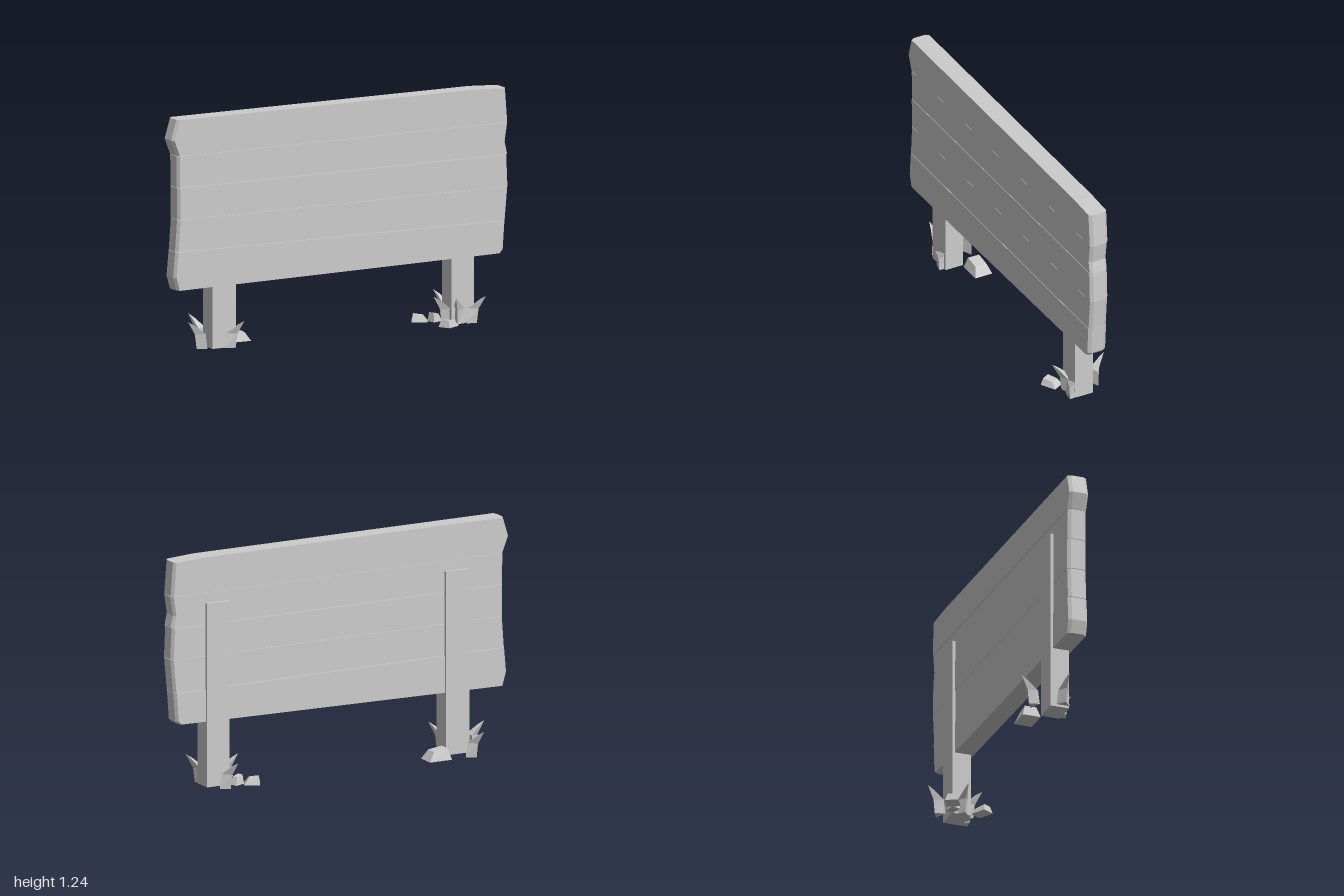
import * as THREE from 'three';

const stone = new THREE.MeshStandardMaterial({ color: 0xcccccc, flatShading: true });
stone.name = 'plainGrey';

function add(group, name, geometry) {
  const mesh = new THREE.Mesh(geometry, stone);
  mesh.name = name;
  group.add(mesh);
  return mesh;
}

// Plank: outline extruded in depth, with its ragged ends chamfered front and back
function plankGeometry(left, right, zBack, zFront) {
  const outline = [...left, ...right.slice().reverse()]; // left end top-down, right end bottom-up
  const shape = new THREE.Shape(outline.map(([x, y]) => new THREE.Vector2(x, y)));
  const depth = zFront - zBack;
  const g = new THREE.ExtrudeGeometry(shape, { depth, steps: 6, bevelEnabled: false });
  const p = g.attributes.position;
  for (let i = 0; i < p.count; i++) {
    const z = p.getZ(i);
    if (z < 0.001 || z > depth - 0.001) p.setX(i, p.getX(i) - Math.sign(p.getX(i)) * 0.012);
    p.setZ(i, z + zBack);
  }
  g.computeVertexNormals();
  return g;
}

// Grass blade: three triangular sections bending outward along +z
function bladeGeometry() {
  // [outer y, outer z, inner y, inner z, half width]
  const sections = [
    [0, 0.015, 0, -0.03, 0.036],
    [0.075, 0.024, 0.08, -0.024, 0.028],
    [0.146, 0.065, 0.125, 0.03, 0.01],
  ];
  const rings = sections.map(([yo, zo, yi, zi, w]) => [[0, yo, zo], [w, yi, zi], [-w, yi, zi]]);
  const v = [];
  for (let s = 0; s < 2; s++) {
    for (let i = 0; i < 3; i++) {
      const j = (i + 1) % 3;
      const [a, b, c, d] = [rings[s][i], rings[s][j], rings[s + 1][j], rings[s + 1][i]];
      v.push(...a, ...b, ...c, ...a, ...c, ...d);
    }
  }
  v.push(...rings[2].flat(), ...rings[0].slice().reverse().flat());
  const g = new THREE.BufferGeometry();
  g.setAttribute('position', new THREE.Float32BufferAttribute(v, 3));
  g.computeVertexNormals();
  return g;
}

// Rock: low four-sided block with a smaller, shifted top
function rockGeometry(w, h, d, shift) {
  const g = new THREE.BoxGeometry(w, h, d).translate(0, h / 2, 0);
  const p = g.attributes.position;
  for (let i = 0; i < p.count; i++) {
    if (p.getY(i) > h / 2) {
      p.setX(i, p.getX(i) * 0.62 + shift);
      p.setZ(i, p.getZ(i) * 0.65);
      if (p.getX(i) > shift) p.setY(i, h * 0.82);
    }
  }
  g.computeVertexNormals();
  return g;
}

export function createModel() {
  const model = new THREE.Group();
  model.name = 'woodenSign';

  // Five stacked planks, listed from the top: left end, right end, back, front
  const board = new THREE.Group();
  board.name = 'board';
  const planks = [
    [[[-0.968, 1.237], [-1, 1.13], [-0.968, 1.046]], [[0.83, 1.237], [0.985, 1.228], [0.999, 1.046]], -0.005, 0.1],
    [[[-0.968, 1.044], [-0.966, 0.876]], [[0.999, 1.044], [0.984, 0.94], [0.998, 0.876]], -0.002, 0.099],
    [[[-0.966, 0.874], [-0.965, 0.706]], [[0.993, 0.874], [1, 0.706]], -0.004, 0.1],
    [[[-0.964, 0.704], [-0.976, 0.536]], [[1, 0.704], [0.984, 0.526]], -0.003, 0.099],
    [[[-0.976, 0.534], [-0.988, 0.4], [-0.968, 0.33]], [[0.983, 0.524], [0.972, 0.37], [0.955, 0.353]], -0.006, 0.1],
  ];
  planks.forEach(([l, r, b, f], i) => add(board, 'plank' + (i + 1), plankGeometry(l, r, b, f)));
  model.add(board);

  // Posts running up behind the board
  for (const [name, x, w] of [['rightPost', -0.685, 0.138], ['leftPost', 0.733, 0.134]]) {
    add(model, name, new THREE.BoxGeometry(w, 0.99, 0.105)).position.set(x, 0.495, 0.0325);
  }

  // Grass blades around the posts: x, z, outward direction x, z
  const grass = new THREE.Group();
  grass.name = 'grass';
  const blade = bladeGeometry();
  const blades = [
    [-0.81, 0.04, -1, 0], [-0.64, 0.1, 0.6, 0.8], [-0.73, -0.12, -0.4, -0.9],
    [0.648, 0.04, -1, 0], [0.7, 0.095, -0.6, 0.8], [0.79, 0.105, 0.7, 0.7], [0.71, -0.09, -0.4, -0.9],
  ];
  for (const [x, z, dx, dz] of blades) {
    const m = add(grass, 'grassBlade', blade);
    m.position.set(x, 0, z);
    m.rotation.y = Math.atan2(dx, dz);
  }
  model.add(grass);

  // Rocks: x, z, width, height, depth, turn
  const rocks = new THREE.Group();
  rocks.name = 'rocks';
  for (const [x, z, w, h, d, turn] of [
    [-0.535, -0.065, 0.13, 0.06, 0.1, 0], [0.555, -0.06, 0.085, 0.04, 0.07, -0.5],
    [0.625, 0.13, 0.09, 0.038, 0.07, 0.5], [0.63, -0.03, 0.06, 0.05, 0.05, 0.3],
  ]) {
    const m = add(rocks, 'rock', rockGeometry(w, h, d, -0.008));
    m.position.set(x, 0, z);
    m.rotation.y = turn;
  }
  model.add(rocks);
  return model;
}
